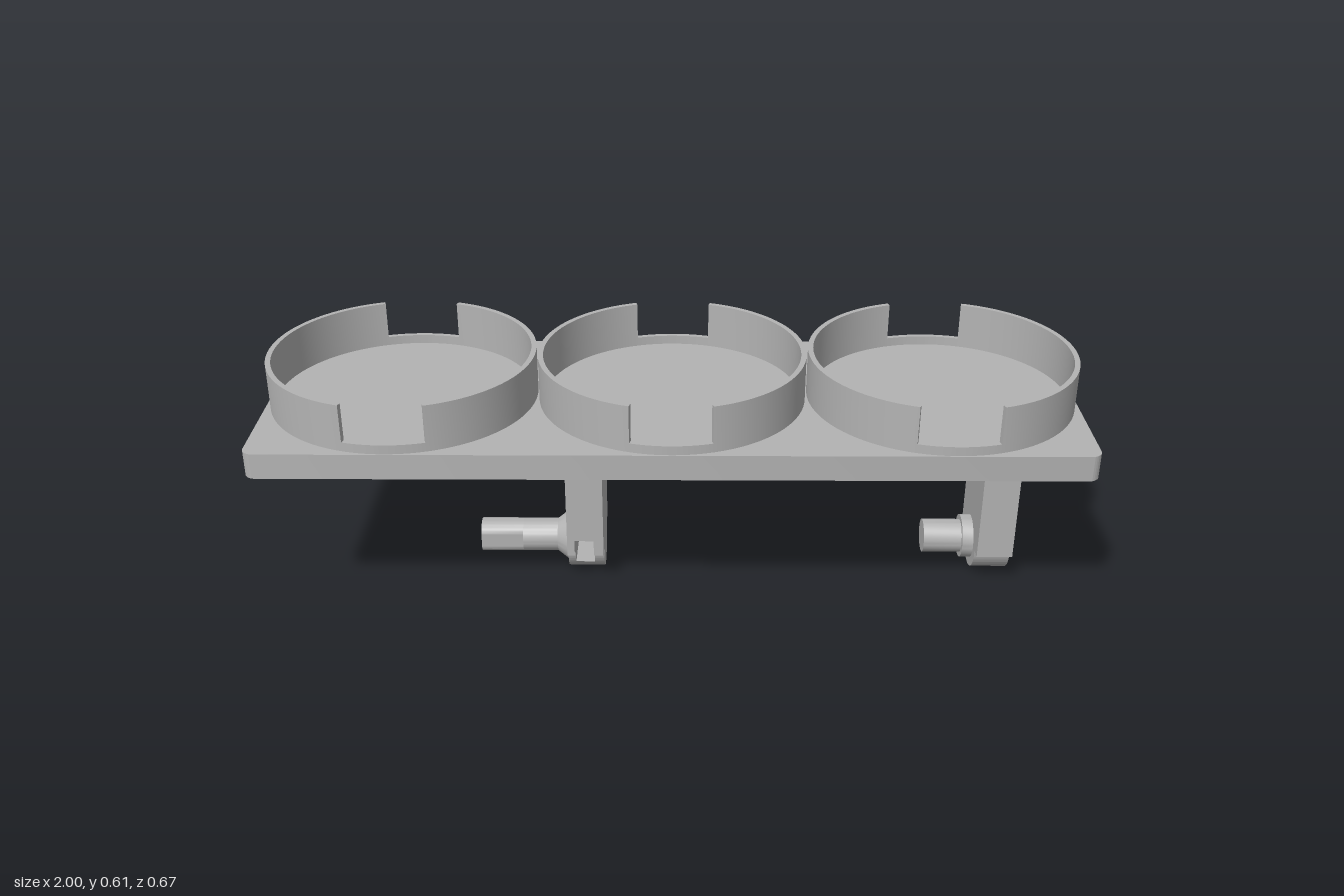
import * as THREE from 'three';
import { toCreasedNormals } from 'three/addons/utils/BufferGeometryUtils.js';

const AXLE_Y = 0.08;

export function createModel() {
  const model = new THREE.Group();
  model.name = 'tripleCupTray';
  const grey = new THREE.MeshStandardMaterial({ color: 0xb3b3b3 });
  grey.name = 'greyPlastic';

  const add = (name, geometry, parent = model) => {
    const mesh = new THREE.Mesh(toCreasedNormals(geometry, 0.5), grey);
    mesh.name = name;
    parent.add(mesh);
    return mesh;
  };
  const extrude = (shape, depth) =>
    new THREE.ExtrudeGeometry(shape, { depth, bevelEnabled: false, curveSegments: 32 });
  // Plan outline raised from y0 to y1
  const raise = (shape, y0, y1) => extrude(shape, y1 - y0).rotateX(-Math.PI / 2).translate(0, y0, 0);
  // Side outline (z, y) spanning x0 to x1
  const span = (shape, x0, x1) => extrude(shape, x1 - x0).rotateY(-Math.PI / 2).translate(x1, 0, 0);

  // Base plate with rounded corners
  const w = 1, d = 0.334, r = 0.03;
  const plate = new THREE.Shape();
  plate.absarc(w - r, d - r, r, 0, Math.PI / 2);
  plate.absarc(-w + r, d - r, r, Math.PI / 2, Math.PI);
  plate.absarc(-w + r, -d + r, r, Math.PI, Math.PI * 1.5);
  plate.absarc(w - r, -d + r, r, Math.PI * 1.5, Math.PI * 2);
  add('basePlate', raise(plate, 0.423, 0.487));

  // Cup rims: tall walls at the sides, low lips at front and back
  const sector = (mid, half) => {
    const s = new THREE.Shape();
    s.absarc(0, 0, 0.331, mid - half, mid + half, false);
    s.absarc(0, 0, 0.318, mid + half, mid - half, true);
    return s;
  };
  const gap = 0.3;
  for (const x of [-0.667, 0, 0.667]) {
    const rim = new THREE.Group();
    rim.name = 'cupRim';
    rim.position.x = x;
    model.add(rim);
    for (const turn of [0, Math.PI]) {
      add('tallWall', raise(sector(turn, Math.PI / 2 - gap), 0.487, 0.605), rim);
      add('lowLip', raise(sector(turn + Math.PI / 2, gap), 0.487, 0.51), rim);
    }
  }

  // Leg outline with a round foot; optionally with a nut pocket open to the front
  const legShape = (pocket) => {
    const s = new THREE.Shape();
    s.moveTo(-0.11, 0.423);
    s.lineTo(-0.11, AXLE_Y);
    s.lineTo(-0.078, AXLE_Y);
    s.absarc(0, AXLE_Y, 0.08, Math.PI, pocket ? Math.PI * 2 - 0.568 : Math.PI * 2, false);
    if (pocket) {
      s.lineTo(-0.04, 0.037);
      s.lineTo(-0.04, 0.123);
      s.lineTo(0.11, 0.123);
    } else {
      s.lineTo(0.11, AXLE_Y);
    }
    s.lineTo(0.11, 0.423);
    return s;
  };
  // Round part lying along x
  const round = (r0, r1, x0, x1) =>
    new THREE.CylinderGeometry(r0, r1, x1 - x0, 40).rotateZ(Math.PI / 2)
      .translate((x0 + x1) / 2, AXLE_Y, 0);

  // Left leg with collar and short solid pin
  add('leftLeg', span(legShape(false), 0.781, 0.872));
  add('leftCollar', round(0.056, 0.056, 0.753, 0.782));
  add('leftPin', round(0.043, 0.043, 0.655, 0.754));

  // Right leg in three layers, the middle one holding the pocket
  add('rightLegInner', span(legShape(false), -0.268, -0.249));
  add('rightLegPocket', span(legShape(true), -0.249, -0.2));
  add('rightLegOuter', span(legShape(false), -0.2, -0.175));

  // Hollow shaft with a flat on the front and back of its end
  const tube = (limit) => {
    const pts = [];
    for (let i = 0; i < 48; i++) {
      const a = (i / 48) * Math.PI * 2;
      const z = THREE.MathUtils.clamp(0.043 * Math.cos(a), -limit, limit);
      pts.push(new THREE.Vector2(z, AXLE_Y + 0.043 * Math.sin(a)));
    }
    const s = new THREE.Shape(pts);
    s.holes.push(new THREE.Path().absarc(0, AXLE_Y, 0.021, 0, Math.PI * 2, true));
    return s;
  };
  add('shaftEnd', span(tube(0.036), -0.497, -0.388));
  add('shaft', span(tube(1), -0.388, -0.267));
  const flare = new THREE.CylinderGeometry(0.043, 0.066, 0.03, 40, 1, true)
    .rotateZ(-Math.PI / 2).rotateY(Math.PI).translate(-0.283, AXLE_Y, 0);
  add('shaftFlare', flare);

  return model;
}
